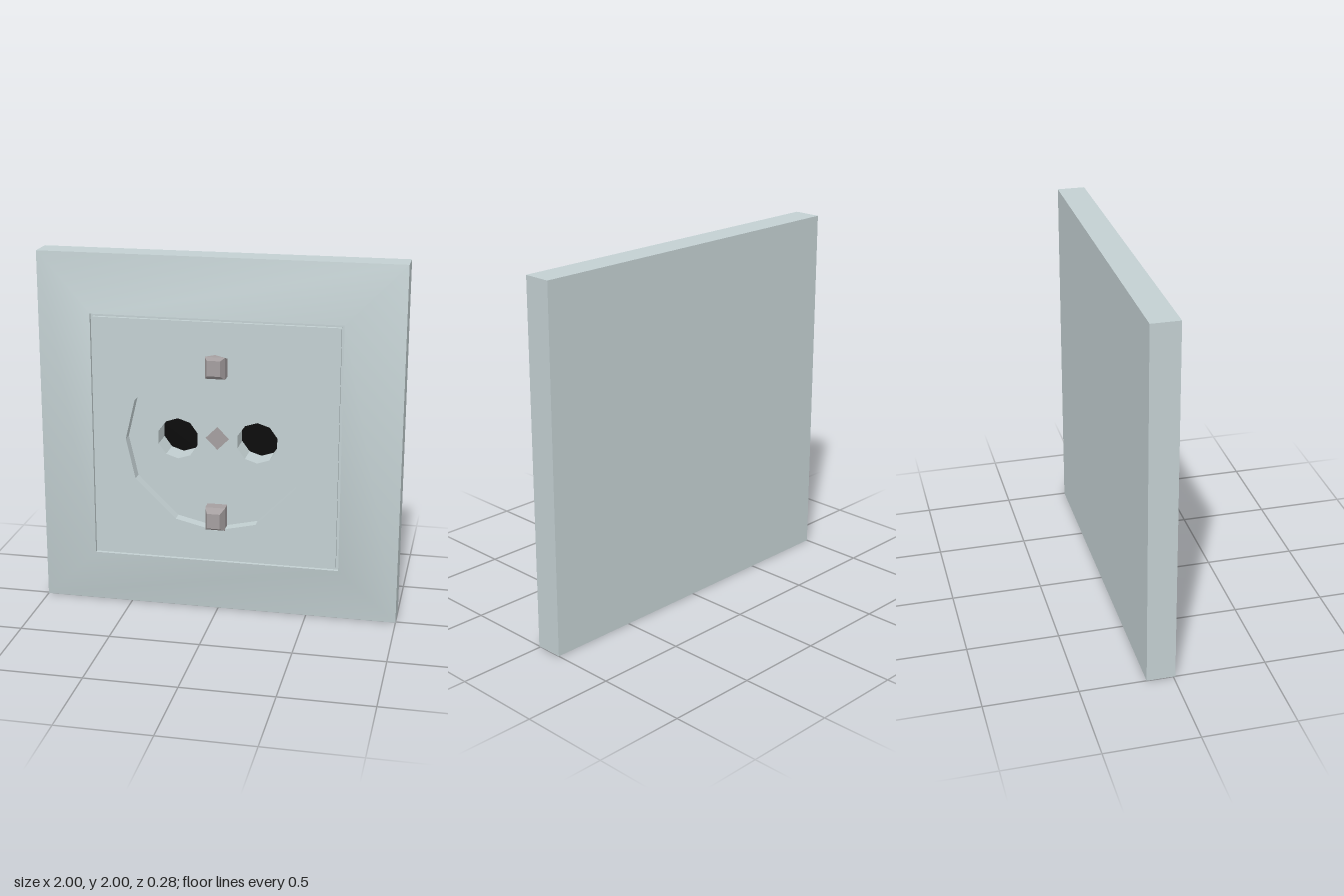
import * as THREE from 'three';
import { mergeVertices, toCreasedNormals } from 'three/addons/utils/BufferGeometryUtils.js';

const FACE = 0.092, FLOOR = 0.028, BACK = -0.143, HOLE_BOTTOM = -0.11;
const CY = 0.995;

// Rings are lists of [x, y], counter-clockwise seen from the front
const rect = (hw, y0, y1) => [[-hw, y0], [hw, y0], [hw, y1], [-hw, y1]];
const square = (h) => rect(h, 1 - h, 1 + h);
const polygon = (cx, cy, r, n, start) => Array.from({ length: n }, (_, i) => {
  const a = start + (i / n) * Math.PI * 2;
  return [cx + r * Math.cos(a), cy + r * Math.sin(a)];
});
const toVectors = (ring) => ring.map(([x, y]) => new THREE.Vector2(x, y));

// Skin through rings given as [ring, z], optionally closed at either end
function loft(rings, { capStart = false, capEnd = false, crease = 0.45 } = {}) {
  const pos = [];
  const tri = (...pts) => pts.forEach((p) => pos.push(...p));
  const levels = rings.map(([ring, z]) => ring.map(([x, y]) => [x, y, z]));
  for (let k = 0; k < levels.length - 1; k++) {
    const a = levels[k], b = levels[k + 1], n = a.length;
    for (let i = 0; i < n; i++) {
      const j = (i + 1) % n;
      tri(a[i], a[j], b[j]);
      tri(a[i], b[j], b[i]);
    }
  }
  const first = levels[0], last = levels[levels.length - 1];
  for (let i = 1; i < first.length - 1; i++) {
    if (capStart) tri(first[0], first[i + 1], first[i]);
    if (capEnd) tri(last[0], last[i], last[i + 1]);
  }
  const geo = new THREE.BufferGeometry();
  geo.setAttribute('position', new THREE.Float32BufferAttribute(pos, 3));
  return toCreasedNormals(mergeVertices(geo), crease);
}

// Flat face with openings
function flat(outline, holes, z) {
  const shape = new THREE.Shape(toVectors(outline));
  holes.forEach((h) => shape.holes.push(new THREE.Path(toVectors(h))));
  return new THREE.ShapeGeometry(shape).translate(0, 0, z);
}

export function createModel() {
  const model = new THREE.Group();
  model.name = 'wallSocket';
  const plastic = new THREE.MeshStandardMaterial({ color: 0xc3d0d2 });
  const metal = new THREE.MeshStandardMaterial({ color: 0xa59fa0 });
  const dark = new THREE.MeshStandardMaterial({ color: 0x080808 });
  const add = (name, geometry, material) => {
    const mesh = new THREE.Mesh(geometry, material);
    mesh.name = name;
    model.add(mesh);
    return mesh;
  };

  // Frame: slab, sloping front and narrow groove around the panel
  add('frame', loft([
    [square(1), BACK], [square(1), 0.011], [square(0.685), FACE],
    [square(0.685), FACE - 0.02], [square(0.67), FACE - 0.02], [square(0.67), FACE],
  ], { capStart: true }), plastic);

  // Panel with the round recess
  const quarter = [[0.498, 0], [0.447, 0.225], [0.222, 0.445]];
  const recess = [];
  for (let q = 0; q < 4; q++) {
    const c = [1, 0, -1, 0][q], s = [0, 1, 0, -1][q];
    quarter.forEach(([x, y]) => recess.push([x * c - y * s, CY + x * s + y * c]));
  }
  add('panel', flat(square(0.67), [recess], FACE), plastic);
  add('recessWall', loft([[recess, FACE], [recess, FLOOR]], { crease: 0.3 }), plastic);

  // Recess floor with the two pin holes
  const pins = [-0.22, 0.22].map((x) => polygon(x, CY, 0.115, 10, Math.PI / 2));
  add('recessFloor', flat(recess, pins, FLOOR), plastic);
  pins.forEach((pin, i) => {
    const side = i ? 'left' : 'right';
    add(side + 'PinHoleWall', loft([[pin, FLOOR], [pin, HOLE_BOTTOM]]), plastic);
    add(side + 'PinHoleBottom', flat(pin, [], HOLE_BOTTOM), dark);
  });

  // Centre screw
  add('centreScrew', new THREE.CircleGeometry(0.065, 4).translate(0, 1.01, FLOOR + 0.004), metal);

  // Earth clips: straight below the panel face, tapered above it
  const clip = (name, y0, y1, tip0, tip1, tipZ) => add(name, loft([
    [rect(0.055, y0, y1), FLOOR], [rect(0.055, y0, y1), FACE], [rect(0.036, tip0, tip1), tipZ],
  ], { capEnd: true, crease: 0.2 }), metal);
  clip('topEarthClip', 1.36, 1.48, 1.385, 1.47, 0.133);
  clip('bottomEarthClip', 0.5, 0.63, 0.525, 0.61, 0.14);

  return model;
}
